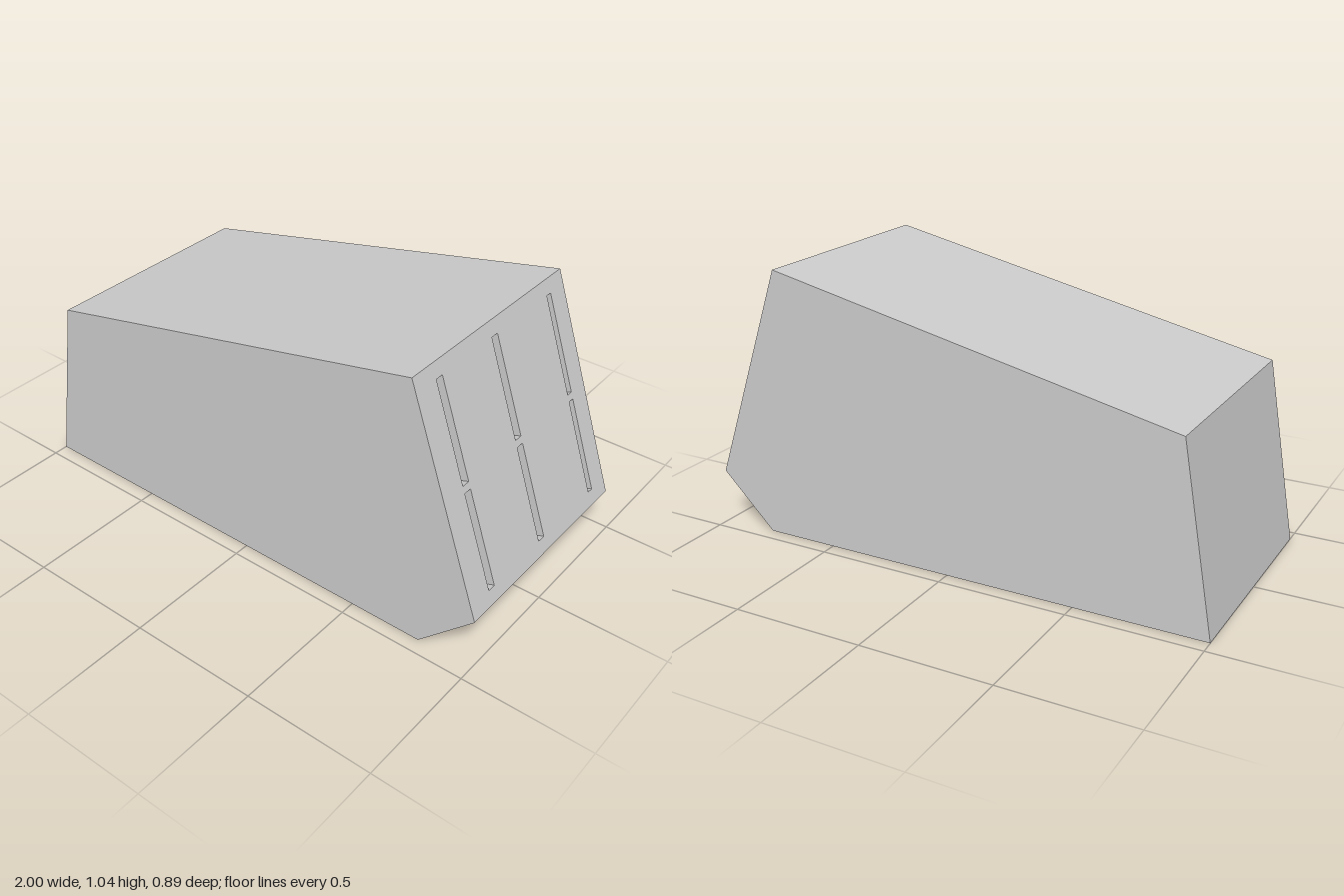
import * as THREE from 'three';

const HALF_WIDTH = 0.443;
// Side profile, counter-clockwise in x/y
const PROFILE = [[-1, 0], [0.785, 0], [1, 0.21], [0.71, 1.045], [-0.88, 0.7]].map(([x, y]) => new THREE.Vector2(x, y));
const PANEL_NAMES = ['bottomPanel', 'chamferPanel', 'slottedPanel', 'topPanel', 'endPanel'];

// Slot rows measured along the slotted panel from its lower edge, and columns across it
const ROWS = [[0.056, 0.422, 0.44], [0.449, 0.828, 0.425]]; // start, end, depth
const COLUMNS = [[-0.357, -0.332], [-0.017, 0.017], [0.302, 0.335]];

const material = new THREE.MeshStandardMaterial({ color: 0xcccccc, flatShading: true });

function addMesh(parent, geometry, name) {
  const mesh = new THREE.Mesh(geometry, material);
  mesh.name = name;
  parent.add(mesh);
  return mesh;
}

function rectangle(path, x0, x1, y0, y1) {
  path.moveTo(x0, y0).lineTo(x1, y0).lineTo(x1, y1).lineTo(x0, y1).closePath();
  return path;
}

// Box seen from inside, open towards +z
function pocketGeometry(length, width, depth) {
  const geometry = new THREE.BoxGeometry(length, width, depth);
  const index = Array.from(geometry.index.array);
  index.splice(24, 6);
  geometry.setIndex(index.reverse());
  geometry.clearGroups();
  geometry.computeVertexNormals();
  return geometry;
}

export function createModel() {
  const model = new THREE.Group();
  model.name = 'wedgeBlock';

  // Flat side walls
  const wall = new THREE.ShapeGeometry(new THREE.Shape(PROFILE));
  addMesh(model, wall, 'frontWall').position.z = HALF_WIDTH;
  const back = addMesh(model, new THREE.ShapeGeometry(new THREE.Shape(PROFILE.map((p) => new THREE.Vector2(-p.x, p.y)).reverse())), 'backWall');
  back.rotation.y = Math.PI;
  back.position.z = -HALF_WIDTH;

  // One panel per profile edge: local x along the edge, y across the width, z outwards
  PROFILE.forEach((a, i) => {
    const b = PROFILE[(i + 1) % PROFILE.length];
    const d = b.clone().sub(a).normalize();
    const panel = new THREE.Group();
    panel.name = PANEL_NAMES[i];
    panel.quaternion.setFromRotationMatrix(new THREE.Matrix4().makeBasis(
      new THREE.Vector3(d.x, d.y, 0), new THREE.Vector3(0, 0, 1), new THREE.Vector3(d.y, -d.x, 0)));
    panel.position.set(a.x, a.y, 0);
    model.add(panel);

    const shape = rectangle(new THREE.Shape(), 0, a.distanceTo(b), -HALF_WIDTH, HALF_WIDTH);
    if (PANEL_NAMES[i] === 'slottedPanel') {
      // Deep slots cut square to the panel
      for (const [x0, x1, depth] of ROWS) {
        for (const [y0, y1] of COLUMNS) {
          shape.holes.push(rectangle(new THREE.Path(), x0, x1, y0, y1));
          addMesh(panel, pocketGeometry(x1 - x0, y1 - y0, depth), 'slot')
            .position.set((x0 + x1) / 2, (y0 + y1) / 2, -depth / 2);
        }
      }
    }
    addMesh(panel, new THREE.ShapeGeometry(shape), PANEL_NAMES[i] + 'Face');
  });

  return model;
}
